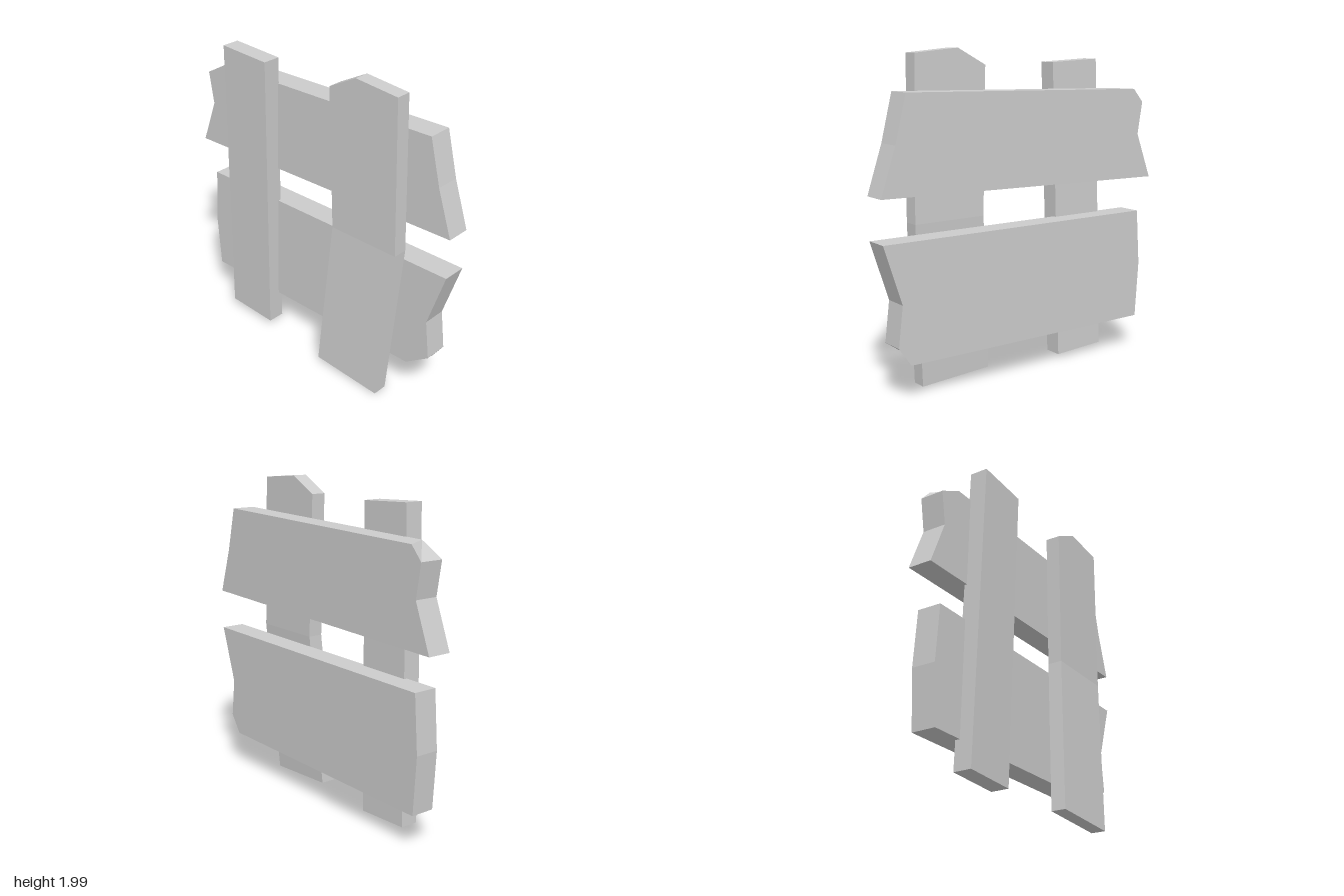
import * as THREE from 'three';

const material = new THREE.MeshStandardMaterial({ color: 0xcccccc, flatShading: true });

// Plank between two matching counter-clockwise outlines of [x, y, z] points.
// loops split the broad faces into flat areas where the plank bends.
function plank(name, front, back, loops = [front.map((_, i) => i)]) {
  const pos = [];
  const tri = (a, b, c) => pos.push(...a, ...b, ...c);
  // Broad faces
  for (const [points, flip] of [[front, false], [back, true]]) {
    for (const loop of loops) {
      const corners = loop.map((i) => points[i]);
      const flat = corners.map(([x, y]) => new THREE.Vector2(x, y));
      for (const [a, b, c] of THREE.ShapeUtils.triangulateShape(flat, [])) {
        if (flip) tri(corners[a], corners[c], corners[b]);
        else tri(corners[a], corners[b], corners[c]);
      }
    }
  }
  // Edge band
  front.forEach((f, i) => {
    const j = (i + 1) % front.length;
    tri(f, back[i], back[j]);
    tri(f, back[j], front[j]);
  });
  const geometry = new THREE.BufferGeometry();
  geometry.setAttribute('position', new THREE.Float32BufferAttribute(pos, 3));
  geometry.computeVertexNormals();
  const mesh = new THREE.Mesh(geometry, material);
  mesh.name = name;
  return mesh;
}

// Puts a 2D outline at a depth given by a rule of its height
const place = (outline, depth) => outline.map(([x, y]) => [x, y, depth(y)]);

// Horizontal board with one corner chipped deeper on the front
function rail(name, outline, chipIndex, chipPoint) {
  const frontOutline = outline.map((p, i) => (i === chipIndex ? chipPoint : p));
  return plank(name, place(frontOutline, () => 0.005), place(outline, () => -0.145));
}

export function createModel() {
  const group = new THREE.Group();
  group.name = 'woodenFence';

  group.add(rail('upperRail', [
    [-1, 1.145], [1, 1.195], [0.905, 1.48], [0.835, 1.76],
    [-0.85, 1.72], [-0.925, 1.635], [-0.89, 1.43],
  ], 4, [-0.77, 1.722]));

  group.add(rail('lowerRail', [
    [-0.9, 0.22], [0.83, 0.232], [0.91, 0.345], [0.88, 0.59],
    [0.995, 0.943], [-0.9, 0.928], [-0.925, 0.575],
  ], 1, [0.75, 0.232]));

  // Straight post, leaning slightly forward at the top
  const rightPost = [[-0.69, 0.045], [-0.34, 0.03], [-0.3, 1.895], [-0.65, 1.91]];
  const lean = (y) => -0.028 + 0.0147 * y;
  group.add(plank('rightPost',
    place(rightPost, (y) => lean(y) + 0.112), place(rightPost, lean)));

  // Bent post with a clipped top corner
  const leftPost = [
    [0.16, 0.03], [0.635, 0.005], [0.7, 1], [0.68, 1.965],
    [0.39, 1.99], [0.2, 1.89], [0.225, 1],
  ];
  const bend = (y) => (y < 1 ? 0.002 + 0.052 * (1 - y) : 0.002 + 0.01 * (y - 1));
  group.add(plank('leftPost',
    place(leftPost, (y) => bend(y) + 0.093), place(leftPost, bend),
    [[0, 1, 2, 6], [2, 3, 4, 5, 6]]));

  return group;
}
